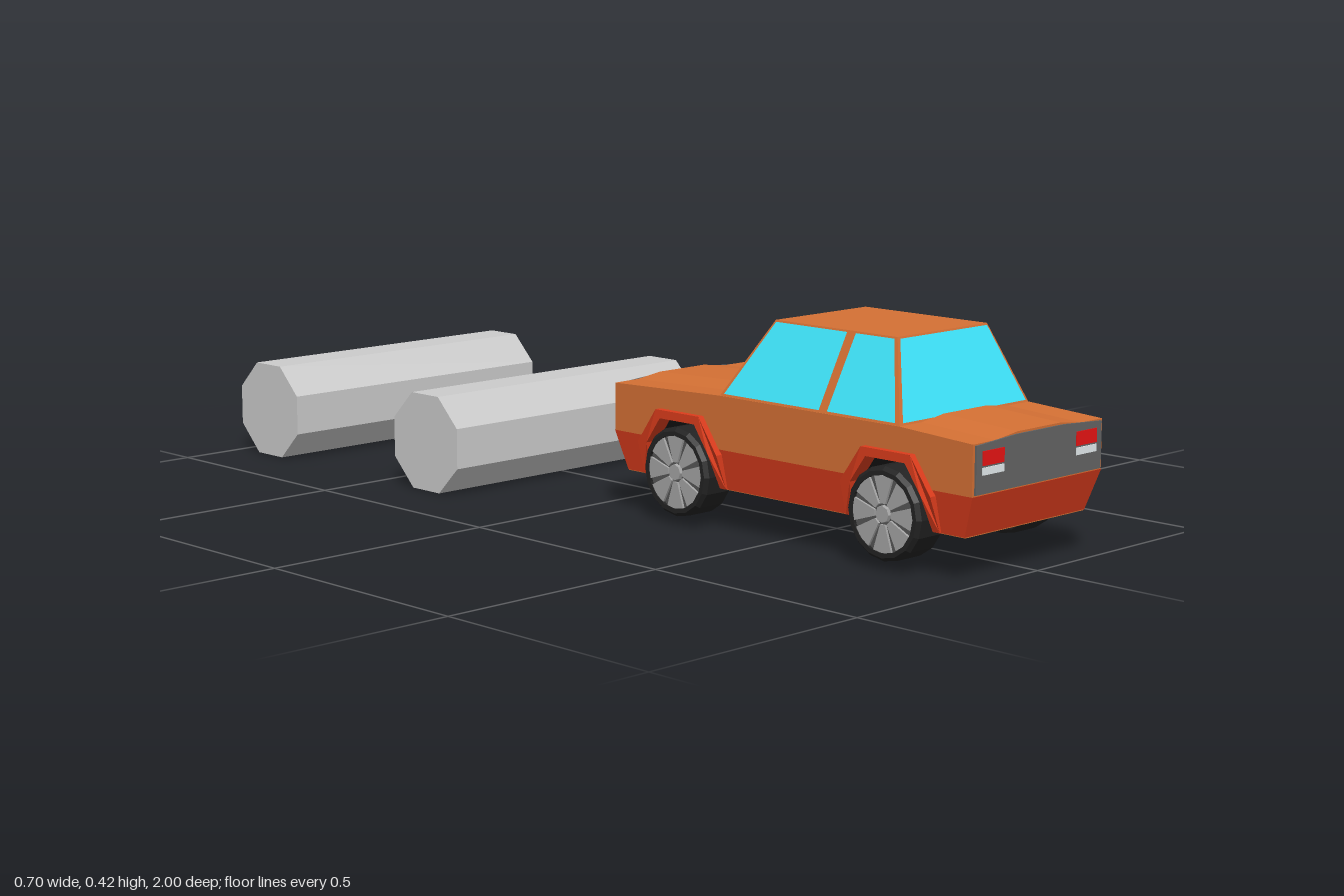
import * as THREE from 'three';

const mat = (color) => new THREE.MeshStandardMaterial({ color, flatShading: true, side: THREE.DoubleSide });
const GREY = mat(0xcccccc), ORANGE = mat(0xd47034), RED = mat(0xdc3c1c), GLASS = mat(0x40e8ff),
  PANEL = mat(0x646464), TYRE = mat(0x222222), WELL = mat(0x1c1c1c), RIM = mat(0xa4a4a4),
  RIMDARK = mat(0x555555), LAMPRED = mat(0xe81414), LAMPWHITE = mat(0xe6eef0);
const WHEELS = [0.8, 0.255];

function add(parent, name, geometry, material) {
  const m = new THREE.Mesh(geometry, material);
  m.name = name;
  parent.add(m);
  return m;
}

function shapeOf(points) {
  return new THREE.Shape(points.map(([a, b]) => new THREE.Vector2(a, b)));
}

// Extrudes a [z, y] side profile across x from x0 to x1; an optional rule moves vertices.
function sideExtrude(points, x0, x1, steps = 1, rule) {
  const g = new THREE.ExtrudeGeometry(shapeOf(points), { depth: x1 - x0, steps, bevelEnabled: false });
  g.rotateY(-Math.PI / 2);
  g.translate(x1, 0, 0);
  if (rule) {
    const p = g.attributes.position, v = new THREE.Vector3();
    for (let i = 0; i < p.count; i++) {
      rule(v.fromBufferAttribute(p, i));
      p.setXYZ(i, v.x, v.y, v.z);
    }
    g.computeVertexNormals();
  }
  return g;
}

// Wheel arch outline around the wheel at z = c, from high z to low z.
const arch = (c, foot, knee, top, height, low = 0.085, kneeY = 0.165) => [
  [c + foot, low], [c + knee, kneeY], [c + top, height],
  [c - top, height], [c - knee, kneeY], [c - foot, low]];

function buildBody(car) {
  // Upper shell with arch cut-outs and a slightly crowned top
  const cut = (c) => arch(c, 0.1, 0.088, 0.05, 0.212).slice(1, 5);
  const upper = [[0.996, 0.165], ...cut(WHEELS[0]), ...cut(WHEELS[1]), [0.064, 0.165],
    [0.064, 0.262], [0.36, 0.272], [0.82, 0.272], [0.996, 0.262]];
  add(car, 'upperBody', sideExtrude(upper, -0.19, 0.19, 6, (v) => {
    if (v.y > 0.25 && Math.abs(v.x) < 0.07) v.y += 0.008;
  }), ORANGE);

  // Lower panels, narrowing towards the ground
  const [r, f] = WHEELS;
  const lower = [
    ['rearBumper', 0.997, 0.97, r + 0.088, r + 0.1],
    ['sill', r - 0.088, r - 0.1, f + 0.088, f + 0.1],
    ['frontBumper', f - 0.088, f - 0.1, 0.063, 0.088]];
  for (const [name, topA, lowA, topB, lowB] of lower) {
    const pts = [[lowA, 0.085], [topA, 0.165], [topB, 0.165], [lowB, 0.085]];
    add(car, name, sideExtrude(pts, -0.19, 0.19, 1, (v) => {
      if (v.y < 0.1) v.x *= 0.93;
    }), RED);
    const floor = new THREE.BoxGeometry(0.35, 0.002, lowA - lowB);
    add(car, name + 'Floor', floor.translate(0, 0.0845, (lowA + lowB) / 2), ORANGE);
  }

  // Wheel wells and flared arches
  for (const c of WHEELS) {
    const inner = arch(c, 0.098, 0.086, 0.048, 0.209);
    add(car, 'wheelWell', sideExtrude([...arch(c, 0.1, 0.088, 0.05, 0.212), ...inner.reverse()], -0.174, 0.174), WELL);
    const band = [...arch(c, 0.115, 0.11, 0.06, 0.226, 0.085, 0.155),
      ...arch(c, 0.098, 0.086, 0.048, 0.209, 0.085, 0.155).reverse()];
    for (const s of [-1, 1]) {
      add(car, 'archFlare', sideExtrude(band, s > 0 ? 0.17 : -0.204, s > 0 ? 0.204 : -0.17, 1, (v) => {
        if (v.y < 0.1) v.x = s * Math.min(Math.abs(v.x), 0.181);
      }), RED);
    }
  }
}

// Corner of the cabin: x side, z side (+1 rear), height 0..1
const corner = (sx, sz, t) => new THREE.Vector3(
  sx * THREE.MathUtils.lerp(0.19, 0.13, t),
  THREE.MathUtils.lerp(0.268, 0.425, t),
  sz > 0 ? THREE.MathUtils.lerp(0.823, 0.763, t) : THREE.MathUtils.lerp(0.357, 0.453, t));

// Window pane on the cabin face between lower corners a and b; uv = [bottom u0, u1, top u0, u1]
function pane(a, b, uv, v0, v1) {
  const at = (u, t) => corner(...a, t).lerp(corner(...b, t), u);
  const pts = [at(uv[0], v0), at(uv[1], v0), at(uv[3], v1), at(uv[2], v1)];
  const n = pts[1].clone().sub(pts[0]).cross(pts[3].clone().sub(pts[0])).normalize().multiplyScalar(0.002);
  const g = new THREE.BufferGeometry().setFromPoints(pts.map((p) => p.add(n)));
  g.setIndex([0, 1, 2, 0, 2, 3]);
  g.computeVertexNormals();
  return g;
}

function buildCabin(car) {
  const g = new THREE.BoxGeometry(2, 1, 2);
  const p = g.attributes.position;
  for (let i = 0; i < p.count; i++) {
    const c = corner(Math.sign(p.getX(i)), Math.sign(p.getZ(i)), p.getY(i) > 0 ? 1 : 0);
    p.setXYZ(i, c.x, c.y, c.z);
  }
  g.computeVertexNormals();
  add(car, 'cabin', g, ORANGE);

  const full = [0.02, 0.98, 0.02, 0.98];
  add(car, 'rearWindow', pane([-1, 1], [1, 1], full, 0.05, 0.975), GLASS);
  add(car, 'windscreen', pane([1, -1], [-1, -1], full, 0.05, 0.975), GLASS);
  // Side windows, split by a leaning pillar
  const rear = [0.02, 0.39, 0.02, 0.325], front = [0.435, 0.98, 0.395, 0.98];
  const flip = ([a, b, c, d]) => [1 - b, 1 - a, 1 - d, 1 - c];
  for (const [name, uv] of [['rearSideWindow', rear], ['frontSideWindow', front]]) {
    add(car, name, pane([1, 1], [1, -1], uv, 0.05, 0.975), GLASS);
    add(car, name, pane([-1, -1], [-1, 1], flip(uv), 0.05, 0.975), GLASS);
  }
}

// Grey end panel with a pair of two-strip lamps
function buildEnd(car, name, z, dir, lampMaterial) {
  const outline = [[-0.184, 0.168], [0.184, 0.168], [0.184, 0.259], [0.07, 0.266], [-0.07, 0.266], [-0.184, 0.259]];
  const panel = new THREE.ExtrudeGeometry(shapeOf(outline), { depth: 0.004, bevelEnabled: false });
  add(car, name + 'Panel', panel.translate(0, 0, z - 0.002), PANEL);
  for (const s of [-1, 1]) {
    const strip = (h, y) => new THREE.BoxGeometry(0.061, h, 0.004).translate(s * 0.137, y, z + dir * 0.002);
    add(car, name + 'UpperLamp', strip(0.027, 0.234), lampMaterial);
    add(car, name + 'LowerLamp', strip(0.014, 0.21), LAMPWHITE);
  }
}

// Wheel with its axis along y, outer face up
function buildWheel() {
  const wheel = new THREE.Group();
  wheel.name = 'wheel';
  const profile = [[0.074, 0.07], [0.074, 0.078], [0.083, 0.078], [0.09, 0.07],
    [0.09, 0.008], [0.083, 0], [0, 0]].map(([r, y]) => new THREE.Vector2(r, y));
  add(wheel, 'tyre', new THREE.LatheGeometry(profile, 16), TYRE);
  add(wheel, 'rimDisc', new THREE.CylinderGeometry(0.075, 0.075, 0.01, 16).translate(0, 0.066, 0), RIMDARK);
  add(wheel, 'hubCap', new THREE.CylinderGeometry(0.016, 0.018, 0.01, 8).translate(0, 0.073, 0), RIM);
  const spoke = shapeOf([[0.02, -0.006], [0.073, -0.023], [0.073, 0.023], [0.02, 0.006]]);
  for (let i = 0; i < 8; i++) {
    const g = new THREE.ExtrudeGeometry(spoke, { depth: 0.006, bevelEnabled: false });
    g.rotateX(-Math.PI / 2).translate(0, 0.07, 0).rotateY((i * Math.PI) / 4);
    add(wheel, 'spoke', g, RIM);
  }
  return wheel;
}

export function createModel() {
  const model = new THREE.Group();
  model.name = 'carAndBarriers';

  const car = new THREE.Group();
  car.name = 'car';
  model.add(car);
  buildBody(car);
  buildCabin(car);
  buildEnd(car, 'rear', 0.998, 1, LAMPRED);
  buildEnd(car, 'front', 0.062, -1, LAMPWHITE);
  for (const z of WHEELS) {
    for (const s of [-1, 1]) {
      const wheel = buildWheel();
      wheel.position.set(s * 0.132, 0.107, z);
      wheel.rotation.z = -s * Math.PI / 2;
      car.add(wheel);
    }
  }

  // Eight-sided logs lying across the road
  for (const z of [-0.35, -0.897]) {
    const g = new THREE.CylinderGeometry(0.111, 0.111, 0.696, 8);
    g.rotateY(Math.PI / 8).rotateZ(Math.PI / 2).translate(0, 0.1026, z);
    add(model, 'log', g, GREY);
  }
  return model;
}
